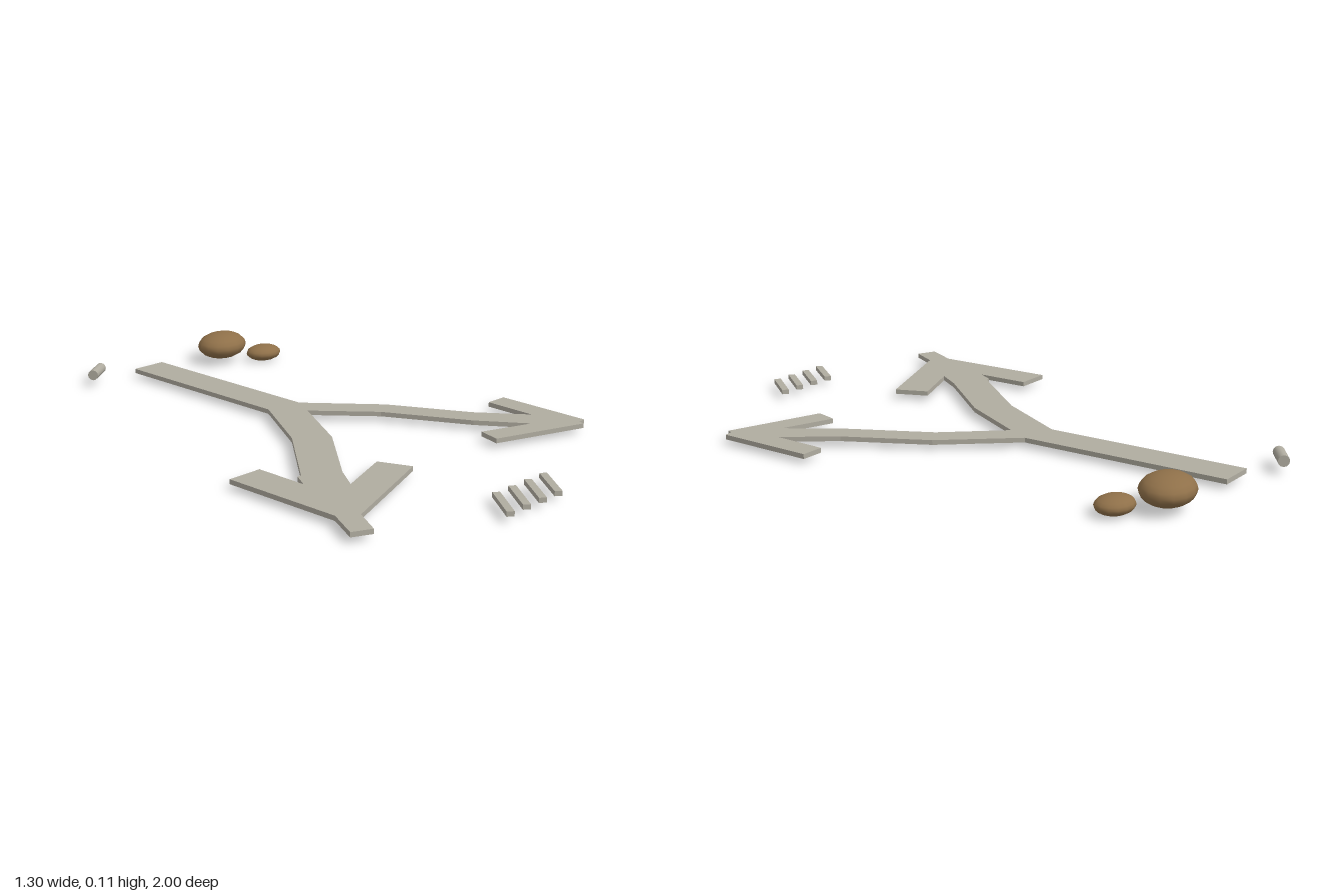
import * as THREE from 'three';

export function createModel() {
  const group = new THREE.Group();
  const stone = new THREE.MeshStandardMaterial({ color: 0xb0aca0 });
  stone.name = 'pale stone';
  const brown = new THREE.MeshStandardMaterial({ color: 0x8f7049 });
  brown.name = 'brown rock';
  const BASE = 0.017, THICK = 0.016;

  function add(name, geometry, material, x = 0, y = 0, z = 0) {
    const mesh = new THREE.Mesh(geometry, material);
    mesh.name = name;
    mesh.position.set(x, y, z);
    group.add(mesh);
    return mesh;
  }

  // Flat slab from an outline of [x, z] corners
  function slab(name, outline) {
    const shape = new THREE.Shape(outline.map(([x, z]) => new THREE.Vector2(x, -z)));
    const geometry = new THREE.ExtrudeGeometry(shape, { depth: THICK, bevelEnabled: false });
    geometry.rotateX(-Math.PI / 2);
    return add(name, geometry, stone, 0, BASE, 0);
  }

  // Forked path: trunk and two bent branches sharing their joint edges
  slab('trunk', [[-0.03, -0.91], [0.1, -0.91], [0.1, -0.175], [0.055, -0.09], [-0.03, -0.195]]);
  slab('rightBranch', [
    [-0.03, -0.195], [-0.19, 0.08], [-0.42, 0.35], [-0.435, 0.35], [-0.47, 0.41],
    [-0.37, 0.51], [-0.31, 0.42], [-0.09, 0.165], [0.055, -0.09],
  ]);
  slab('leftBranch', [
    [0.1, -0.175], [0.295, 0.055], [0.435, 0.325], [0.557, 0.487],
    [0.477, 0.545], [0.367, 0.386], [0.22, 0.1], [0.055, -0.09],
  ]);

  // Barbed heads at the branch ends
  slab('rightArrowhead', [
    [-0.47, 0.41], [-0.47, 0.22], [-0.595, 0.22], [-0.59, 0.655], [-0.65, 0.77],
    [-0.585, 0.8], [-0.53, 0.7], [-0.12, 0.54], [-0.165, 0.43], [-0.37, 0.51],
  ]);
  slab('leftArrowhead', [
    [0.557, 0.487], [0.565, 0.295], [0.647, 0.295], [0.637, 0.645], [0.605, 0.65],
    [0.6, 0.67], [0.57, 0.66], [0.27, 0.56], [0.293, 0.48], [0.477, 0.545],
  ]);

  // Row of slanted bars at the front
  for (let i = 0; i < 4; i++) {
    const bar = add('bar' + (i + 1), new THREE.BoxGeometry(0.16, THICK, 0.024), stone,
      -0.166 + i * 0.077, BASE + THICK / 2, 0.927);
    bar.rotation.y = 0.927;
  }

  // Small lying peg at the back
  const pegGeometry = new THREE.CylinderGeometry(0.019, 0.019, 0.1, 12);
  pegGeometry.rotateZ(Math.PI / 2);
  add('peg', pegGeometry, stone, -0.173, 0.043, -0.957).rotation.y = 0.61;

  // Flattened rocks
  function rock(name, x, y, z, rx, ry, rz, turn) {
    const mesh = add(name, new THREE.SphereGeometry(1, 14, 10), brown, x, y, z);
    mesh.scale.set(rx, ry, rz);
    mesh.rotation.y = turn;
  }
  rock('largeRock', 0.355, 0.064, -0.85, 0.106, 0.049, 0.087, 0.3);
  rock('smallRock', 0.476, 0.03, -0.745, 0.07, 0.03, 0.058, -0.1);

  return group;
}
